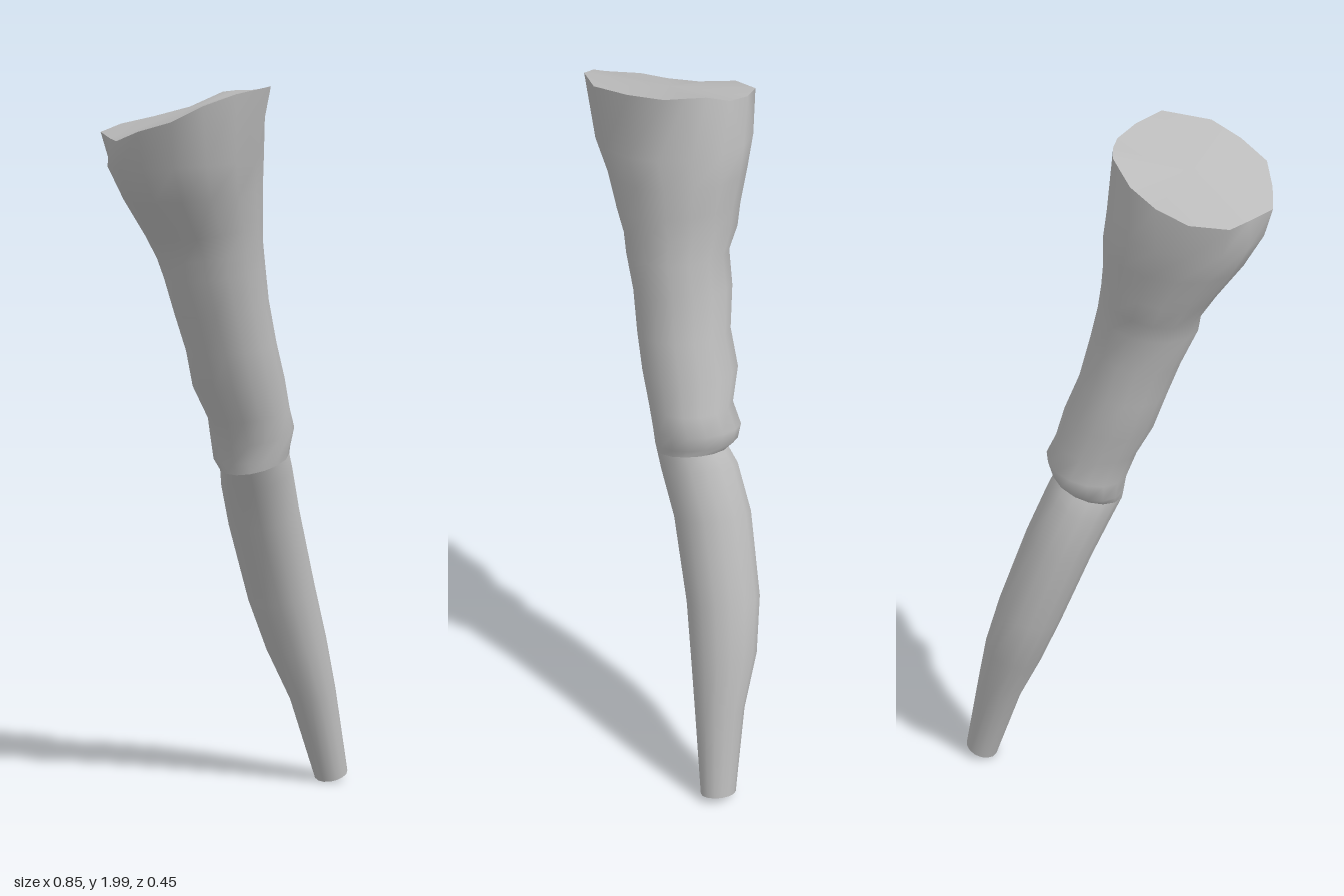
import * as THREE from 'three';

const SIDES = 15;

// Tilted oval ring from its left and right points and its front and back depth
function ring([xl, yl, xr, yr, zf, zb]) {
  const points = [];
  for (let j = 0; j < SIDES; j++) {
    const a = (j / SIDES) * Math.PI * 2, c = Math.cos(a), s = Math.sin(a);
    points.push([
      (xl + xr) / 2 + c * (xr - xl) / 2,
      (yl + yr) / 2 + c * (yr - yl) / 2,
      (zf + zb) / 2 + s * (zf - zb) / 2,
    ]);
  }
  return points;
}

function build(points, index) {
  const geometry = new THREE.BufferGeometry();
  geometry.setAttribute('position', new THREE.Float32BufferAttribute(points.flat(), 3));
  geometry.setIndex(index);
  geometry.computeVertexNormals();
  return geometry;
}

// Smooth skin through a stack of rings, bottom to top
function loft(rings) {
  const index = [];
  for (let i = 0; i < rings.length - 1; i++) {
    for (let j = 0; j < SIDES; j++) {
      const k = (j + 1) % SIDES;
      const a = i * SIDES + j, b = i * SIDES + k, c = a + SIDES, d = b + SIDES;
      index.push(a, c, b, b, c, d);
    }
  }
  return build(rings.flat(), index);
}

// Fan closing one ring
function cap(points, up) {
  const centre = [0, 1, 2].map((n) => points.reduce((sum, p) => sum + p[n], 0) / SIDES);
  const index = [];
  for (let j = 0; j < SIDES; j++) {
    const k = (j + 1) % SIDES;
    index.push(SIDES, up ? k : j, up ? j : k);
  }
  return build([...points, centre], index);
}

export function createModel() {
  const group = new THREE.Group();
  const grey = new THREE.MeshStandardMaterial({ color: 0xbbbbbb });
  const add = (name, geometry) => {
    const mesh = new THREE.Mesh(geometry, grey);
    mesh.name = name;
    group.add(mesh);
  };

  // Slim lower limb: xl, yl, xr, yr, zFront, zBack
  const lower = [
    [0.33, 0.005, 0.42, 0.035, 0.058, -0.042],
    [0.25, 0.25, 0.375, 0.29, 0.06, -0.08],
    [0.185, 0.4, 0.345, 0.45, 0.06, -0.125],
    [0.125, 0.55, 0.3, 0.61, 0.06, -0.145],
    [0.035, 0.78, 0.22, 0.84, 0.075, -0.138],
    [-0.02, 0.9, 0.165, 0.97, 0.098, -0.113],
    [-0.045, 0.95, 0.145, 1.01, 0.104, -0.09],
  ].map(ring);

  // Wrinkled, widening upper limb
  const upper = [
    [-0.045, 0.95, 0.145, 1.01, 0.104, -0.09],
    [-0.05, 0.98, 0.15, 1.03, 0.109, -0.118],
    [-0.058, 1.03, 0.165, 1.08, 0.115, -0.125],
    [-0.085, 1.1, 0.14, 1.13, 0.12, -0.108],
    [-0.13, 1.19, 0.115, 1.22, 0.13, -0.13],
    [-0.165, 1.29, 0.075, 1.32, 0.135, -0.118],
    [-0.2, 1.39, 0.045, 1.44, 0.137, -0.13],
    [-0.245, 1.49, 0.025, 1.53, 0.148, -0.128],
    [-0.252, 1.54, 0.015, 1.6, 0.152, -0.153],
    [-0.29, 1.6, 0.01, 1.66, 0.165, -0.165],
    [-0.36, 1.7, 0.01, 1.74, 0.18, -0.19],
    [-0.41, 1.79, 0, 1.82, 0.205, -0.212],
  ].map(ring);

  // Uneven top rim, high at the front and inner side
  const rim = [
    [-0.015, 1.99, 0.01], [-0.02, 1.99, 0.065], [-0.06, 1.995, 0.15],
    [-0.12, 2, 0.225], [-0.25, 1.98, 0.225], [-0.33, 1.95, 0.185],
    [-0.4, 1.91, 0.14], [-0.42, 1.885, 0.04], [-0.425, 1.86, -0.035],
    [-0.375, 1.865, -0.11], [-0.325, 1.88, -0.2], [-0.225, 1.9, -0.228],
    [-0.14, 1.92, -0.185], [-0.07, 1.945, -0.12], [-0.02, 1.985, -0.045],
  ];

  add('lowerLimb', loft(lower));
  add('lowerEnd', cap(lower[0], false));
  add('upperLimb', loft([...upper, rim]));
  add('upperEnd', cap(rim, true));
  return group;
}
